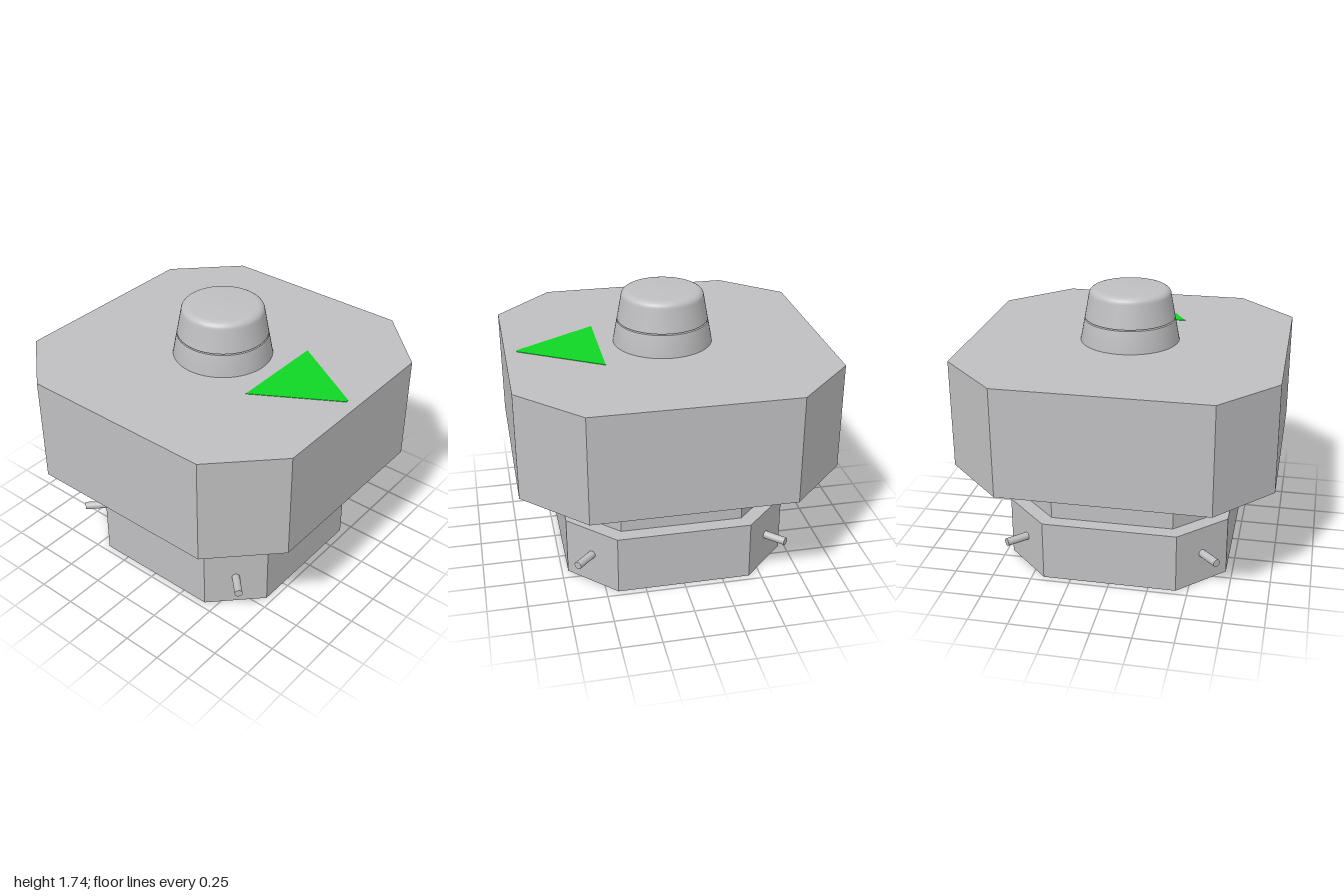
import * as THREE from 'three';
import { toCreasedNormals } from 'three/addons/utils/BufferGeometryUtils.js';

export function createModel() {
  const model = new THREE.Group();
  model.name = 'knobHousing';
  const grey = new THREE.MeshStandardMaterial({ color: 0xbfbfc1 });
  grey.name = 'metal grey';
  const green = new THREE.MeshStandardMaterial({ color: 0x10d624 });
  green.name = 'arrow green';

  function add(name, geometry, material = grey) {
    const mesh = new THREE.Mesh(geometry, material);
    mesh.name = name;
    model.add(mesh);
    return mesh;
  }

  // Upright prism from an outline of [x, z] points
  function prism(points, y0, y1) {
    const shape = new THREE.Shape(points.map(([x, z]) => new THREE.Vector2(x, -z)));
    const geo = new THREE.ExtrudeGeometry(shape, { depth: y1 - y0, bevelEnabled: false });
    return geo.rotateX(-Math.PI / 2).translate(0, y0, 0);
  }

  // Square with cut corners: h = half width, f = half length of the flat sides
  const octagon = (h, f) => [
    [h, f], [h, -f], [f, -h], [-f, -h], [-h, -f], [-h, f], [-f, h], [f, h],
  ];

  // Stacked octagonal body; one corner of the head is cut a little smaller
  add('base', prism(octagon(0.71, 0.425), 0, 0.385));
  add('neck', prism(octagon(0.617, 0.387), 0.385, 0.705));
  const headOutline = octagon(1, 0.628);
  headOutline[5] = [-1, 0.668];
  add('head', prism(headOutline, 0.705, 1.397));

  // Small pins sticking out of the four cut corners of the base
  const inner = 0.5 * Math.SQRT2, outer = 0.672 * Math.SQRT2;
  for (let i = 0; i < 4; i++) {
    const geo = new THREE.CylinderGeometry(0.025, 0.025, outer - inner, 20);
    geo.rotateZ(-Math.PI / 2).translate((inner + outer) / 2, 0.205, 0);
    add('cornerPin', geo).rotation.y = Math.PI / 4 + i * Math.PI / 2;
  }

  // Round button: tapered collar, thin stem in the gap, rounded cap
  function lathe(name, profile) {
    const pts = profile.map(([r, y]) => new THREE.Vector2(r, y));
    add(name, toCreasedNormals(new THREE.LatheGeometry(pts, 64), 0.6));
  }
  lathe('buttonCollar', [[0, 1.39], [0.315, 1.39], [0.315, 1.397], [0.289, 1.538], [0, 1.538]]);
  lathe('buttonStem', [[0.045, 1.53], [0.045, 1.555]]);
  const cap = [[0, 1.546], [0.287, 1.546], [0.26, 1.695]];
  for (let i = 1; i <= 6; i++) {
    const a = (i / 6) * Math.PI / 2;
    cap.push([0.21 + 0.05 * Math.cos(a), 1.695 + 0.04 * Math.sin(a)]);
  }
  cap.push([0, 1.735]);
  lathe('buttonCap', cap);

  // Direction arrow painted on the top
  const arrow = [[0.415, 0.297], [0.925, -0.008], [0.925, -0.028], [0.415, -0.335]];
  add('directionArrow', prism(arrow, 1.396, 1.4), green);

  return model;
}
